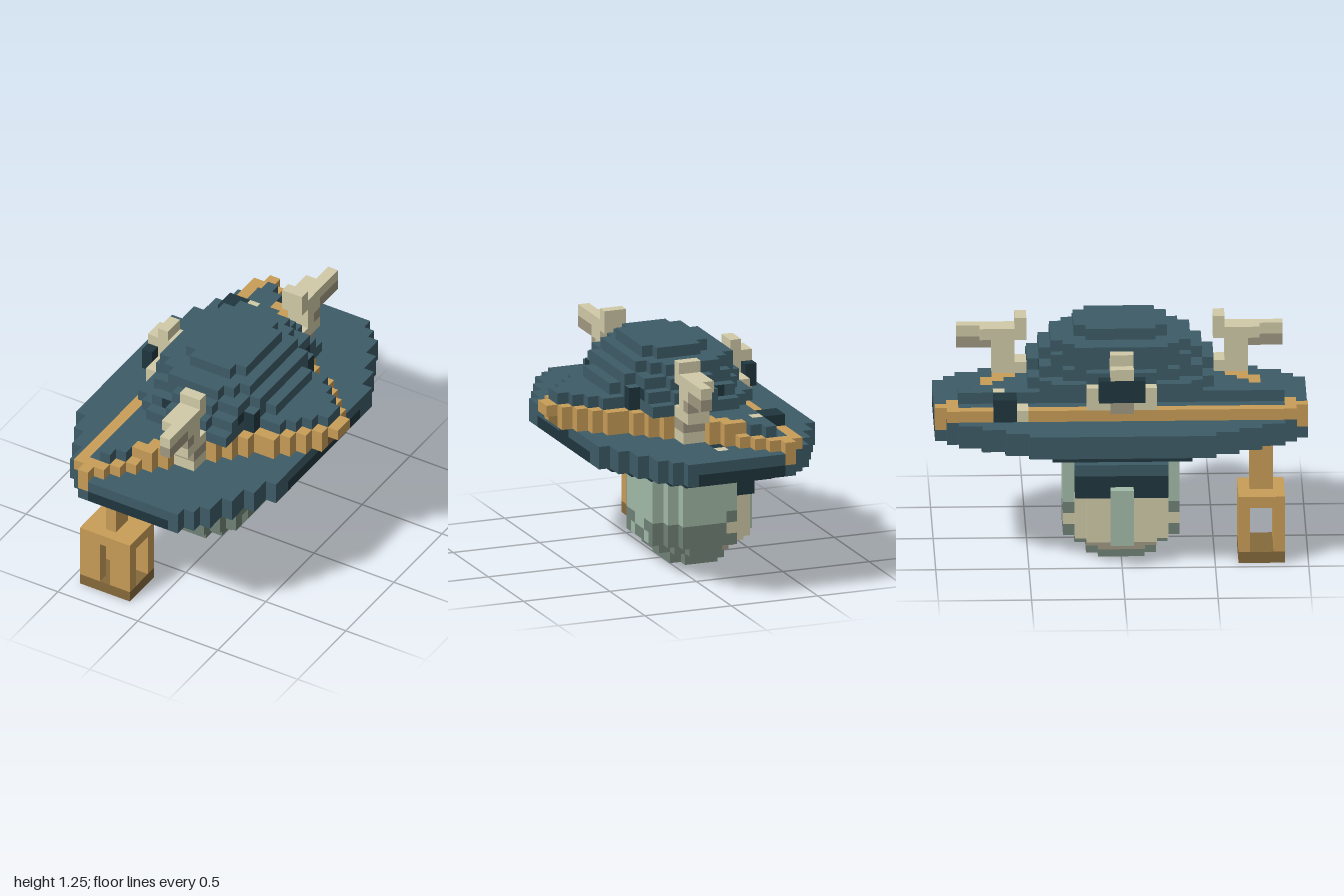
import * as THREE from 'three';

const U = 1 / 16; // size of one block

const material = (name, color) => {
  const m = new THREE.MeshStandardMaterial({ color });
  m.name = name;
  return m;
};

export function createModel() {
  const M = {
    teal: material('teal felt', 0x3d5b67),
    darkTeal: material('dark teal felt', 0x20363e),
    gold: material('gold trim', 0xc89d58),
    darkGold: material('dark gold', 0x86693b),
    bone: material('bone', 0xd1cba8),
    darkBone: material('dark bone', 0x9f9881),
    green: material('pale green', 0xa2bba8),
    darkGreen: material('shaded green', 0x708377),
  };

  // Blocks: later parts replace earlier ones in the same place
  const cells = new Map();
  const put = (x, y, z, part, color) => cells.set(`${x},${y},${z}`, { p: [x, y, z], part, color });
  const box = (part, color, x0, x1, y0, y1, z0, z1) => {
    for (let x = x0; x < x1; x++)
      for (let y = y0; y < y1; y++)
        for (let z = z0; z < z1; z++) put(x, y, z, part, color);
  };
  const mirrored = (part, color, x0, x1, y0, y1, z0, z1) => {
    box(part, color, x0, x1, y0, y1, z0, z1);
    box(part, color, x0, x1, y0, y1, -z1, -z0);
  };
  // One rounded layer; colour is a rule on x, y and row distance
  const disc = (part, color, x0, x1, y, rz, power) => {
    const c = (x0 + x1) / 2, rx = (x1 - x0) / 2;
    for (let x = x0; x < x1; x++)
      for (let z = -rz; z < rz; z++) {
        const d = Math.abs((x + 0.5 - c) / rx) ** power + Math.abs((z + 0.5) / rz) ** power;
        if (d <= 1.02) put(x, y, z, part, color(x, y, z < 0 ? -z - 1 : z));
      }
  };

  // Body, round with a darker underside and a bone coloured rear
  const bodyColor = (x, y, row) => {
    if ((x < -5 && y < 6) || (x === -5 && y % 2 && y < 4)) return y < 2 ? 'darkBone' : 'bone';
    if ((y === 3 && row < 1) || (y === 2 && row === 1)) return 'green';
    return y < 4 || (x === -5 && y === 4) ? 'darkGreen' : 'green';
  };
  [[-5, 0, 3], [-6, 1, 4], ...Array(7).fill([-7, 2, 5]), [-6, 1, 4]].forEach(([x0, x1, rz], y) =>
    disc('body', bodyColor, x0, x1, y, rz, 2.2));
  box('rearPatch', 'darkTeal', -7, -5, 6, 8, -4, 4);
  box('rearPatch', 'teal', -7, -5, 8, 9, -4, 4);
  box('tail', 'green', -8, -7, 2, 7, -1, 1);

  // Brim, wide plate over a smaller dark one
  const brimHalf = [10, 10, 10, 10, 10, 10, 10, 10, 9, 9, 8, 8, 7, 7, 6, 5];
  brimHalf.forEach((h, r) => {
    mirrored('brim', 'teal', -1 - h, -1 + h, 11, 13, r, r + 1);
    if (r < 6) mirrored('brim', 'darkTeal', 7, 9, 11, 12, r, r + 1);
  });
  mirrored('brim', 'darkTeal', 8, 9, 12, 13, 0, 1);
  mirrored('brim', 'darkTeal', -5, 3, 11, 12, 15, 16);
  [8, 8, 8, 8, 8, 8, 7, 7, 6, 6, 5, 5, 4].forEach((h, r) =>
    mirrored('underBrim', 'darkTeal', -1 - h, -1 + h, 10, 11, r, r + 1));

  // Upturned three-cornered fold with a stepped gold edge
  const edge = [[10, 11], [9, 10], [8, 9], [7, 8], [5, 7], [4, 5], [3, 4], [2, 3],
    [1, 2], [-1, 1], [-2, 0], [-3, -1], [-3, -2], [-4, -3], [-6, -4], [-6, -5]];
  edge.forEach(([a, b], r) => {
    mirrored('fold', 'teal', -6, a, 13, 14, r, r + 1);
    if (r < 14) mirrored('fold', 'teal', -5, a, 14, 15, r, r + 1);
    if (r < 8) mirrored('fold', 'teal', Math.max(-6, r - 11), Math.max(a, 4), 15, 16, r, r + 1);
    mirrored('goldEdge', r < 1 ? 'darkGold' : 'gold', Math.min(a, 9), Math.min(b, 10), 13, 14, r, r + 1);
    if (r < 12) mirrored('goldEdge', 'gold', a, b, 14, 15, r, r + 1);
    if (r < 15) mirrored('goldBand', 'gold', -7, -6, 13, 14, r, r + 1);
  });
  mirrored('fold', 'darkTeal', 4, 5, 15, 16, 4, 5);
  mirrored('goldBand', 'gold', -6, -5, 12, 13, 15, 16);

  // Crown, narrowing in steps, with a few dark sides
  const crownColor = (x, y, row) =>
    y === 16 && ((x > 2 && (row === 4 || row === 5)) || (x === -3 && row > 5)) ? 'darkTeal' : 'teal';
  [[-6, 6, 8, 2], [-5, 5, 7, 2.3], [-5, 4, 6, 2.6], [-3, 3, 4, 2.6]].forEach(([x0, x1, rz, power], i) =>
    disc('crown', crownColor, x0, x1, 16 + i, rz, power));

  // Pair of branching horns beside the crown
  mirrored('horn', 'bone', 0, 2, 13, 14, 8, 10);
  mirrored('horn', 'darkBone', 0, 2, 14, 15, 8, 10);
  mirrored('horn', 'bone', 0, 2, 15, 16, 8, 11);
  mirrored('horn', 'bone', 0, 2, 16, 18, 9, 11);
  mirrored('horn', 'darkBone', 1, 2, 16, 17, 10, 11);
  mirrored('horn', 'bone', 0, 1, 18, 19, 8, 12);
  mirrored('horn', 'bone', 1, 2, 18, 19, 8, 14);
  mirrored('horn', 'darkBone', 1, 2, 17, 18, 11, 14);
  mirrored('horn', 'bone', 0, 2, 19, 20, 8, 9);

  // Rear ornament
  box('rearOrnament', 'bone', -7, -6, 14, 16, -3, 3);
  box('rearOrnament', 'bone', -7, -6, 16, 19, -1, 1);
  box('rearOrnament', 'bone', -6, -5, 14, 17, -1, 1);
  box('rearOrnament', 'bone', -6, -5, 17, 18, -1, 1);
  box('rearOrnament', 'darkBone', -8, -7, 14, 15, -1, 1);
  box('rearOrnament', 'darkTeal', -8, -7, 15, 17, -2, 2);
  box('rearOrnament', 'bone', -8, -7, 17, 18, -1, 1);

  // Small charms on one side, two of them set flush in the brim
  box('charm', 'darkTeal', -7, -5, 13, 15, -11, -9);
  box('charm', 'bone', -7, -5, 13, 14, -9, -8);
  box('charm', 'bone', -5, -4, 14, 15, -11, -10);
  box('charm', 'darkTeal', -1, 0, 12, 13, -12, -11);
  box('charm', 'bone', -1, 0, 12, 13, -13, -12);

  // Hanging lantern with open windows
  box('lanternPole', 'gold', -5, -4, 6, 11, 11, 13);
  box('lantern', 'darkGold', -7, -2, 0, 1, 10, 14);
  box('lantern', 'gold', -7, -2, 5, 6, 10, 14);
  for (const [x0, x1] of [[-7, -5], [-4, -2]])
    for (const z of [10, 13]) box('lantern', 'gold', x0, x1, 1, 5, z, z + 1);

  // Brim has a dark underside; fold and crown are dark on their sides only
  const faceColor = (part, color, axis, s) => {
    if (axis !== 1) return color;
    if (part === 'brim') return s < 0 ? 'darkTeal' : 'teal';
    return s > 0 && (part === 'fold' || part === 'crown') ? 'teal' : color;
  };

  // Turn the outer block faces into one mesh per part and colour
  const faces = {};
  for (const { p, part, color } of cells.values())
    for (let d = 0; d < 3; d++)
      for (const s of [-1, 1]) {
        const n = [0, 0, 0];
        n[d] = s;
        if (cells.has(p.map((c, i) => c + n[i]).join())) continue;
        const list = (faces[part] ??= {})[faceColor(part, color, d, s)] ??= { pos: [], nor: [] };
        const quad = [[0, 0], [1, 0], [1, 1], [0, 1]].map(([a, b]) => {
          const q = [...p];
          q[d] += s > 0 ? 1 : 0;
          q[(d + 1) % 3] += a;
          q[(d + 2) % 3] += b;
          return q.map(c => c * U);
        });
        for (const i of s > 0 ? [0, 1, 2, 0, 2, 3] : [0, 2, 1, 0, 3, 2]) {
          list.pos.push(...quad[i]);
          list.nor.push(...n);
        }
      }

  const model = new THREE.Group();
  model.name = 'hatCreature';
  for (const [part, colors] of Object.entries(faces)) {
    const group = new THREE.Group();
    group.name = part;
    for (const [color, { pos, nor }] of Object.entries(colors)) {
      const g = new THREE.BufferGeometry();
      g.setAttribute('position', new THREE.Float32BufferAttribute(pos, 3));
      g.setAttribute('normal', new THREE.Float32BufferAttribute(nor, 3));
      const mesh = new THREE.Mesh(g, M[color]);
      mesh.name = `${part} ${M[color].name}`;
      group.add(mesh);
    }
    model.add(group);
  }
  return model;
}
